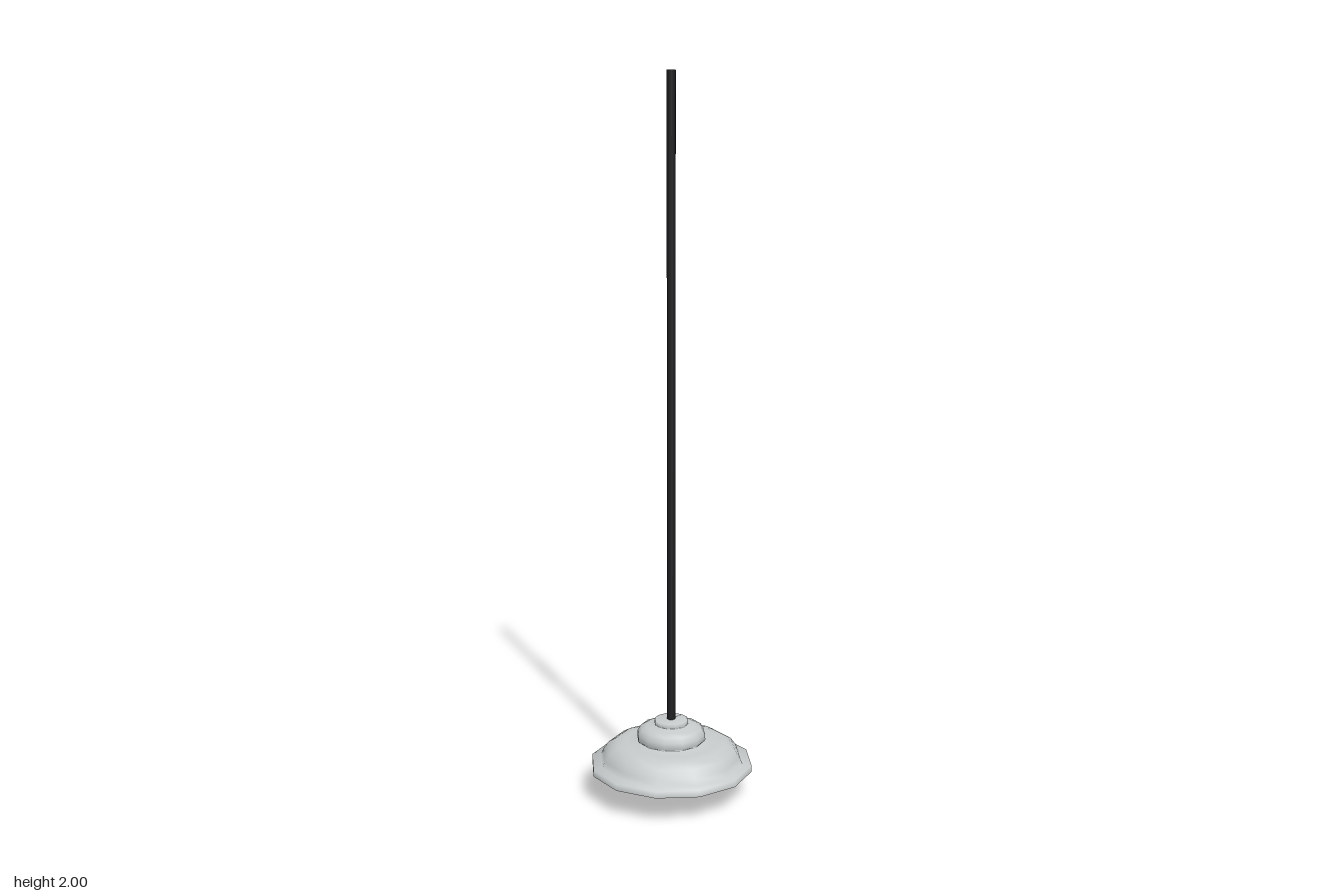
import * as THREE from 'three';

export function createModel() {
  const model = new THREE.Group();
  model.name = 'pendantLamp';

  const material = (name, color, side = THREE.FrontSide) => {
    const m = new THREE.MeshStandardMaterial({ color, side });
    m.name = name;
    return m;
  };
  const enamel = material('paleGreyEnamel', 0xc6caca, THREE.DoubleSide);
  const black = material('blackCord', 0x1c1c1e);
  const amber = material('amberGlass', 0xc49a48);

  // Turned part from [radius, height] pairs, listed from bottom to top
  const turned = (name, profile, sides, mat) => {
    const points = profile.map(([r, y]) => new THREE.Vector2(r, y));
    const mesh = new THREE.Mesh(new THREE.LatheGeometry(points, sides), mat);
    mesh.name = name;
    model.add(mesh);
  };

  // Stepped shade: rim, wide dome, upper tier and cap
  turned('shade', [
    [0.23, 0.076], [0.23, 0.095], [0.204, 0.097], [0.197, 0.115],
    [0.182, 0.136], [0.158, 0.15], [0.13, 0.154], [0.092, 0.155],
    [0.098, 0.162], [0.097, 0.178], [0.088, 0.193], [0.07, 0.2],
    [0.046, 0.202], [0.048, 0.206], [0.047, 0.217], [0, 0.218],
  ], 12, enamel);

  // Socket under the shade
  turned('socket', [[0, 0.115], [0.02, 0.115], [0.022, 0.14], [0.022, 0.2]], 12, enamel);

  // Pear-shaped bulb
  turned('bulb', [
    [0, 0], [0.016, 0.004], [0.029, 0.014], [0.037, 0.03], [0.039, 0.047],
    [0.036, 0.064], [0.028, 0.082], [0.02, 0.098], [0.016, 0.118],
  ], 16, amber);

  // Long hanging cord, open at its ends
  const cord = new THREE.Mesh(new THREE.CylinderGeometry(0.012, 0.012, 1.785, 8, 1, true), black);
  cord.name = 'cord';
  cord.position.y = 2 - 1.785 / 2;
  model.add(cord);

  return model;
}
